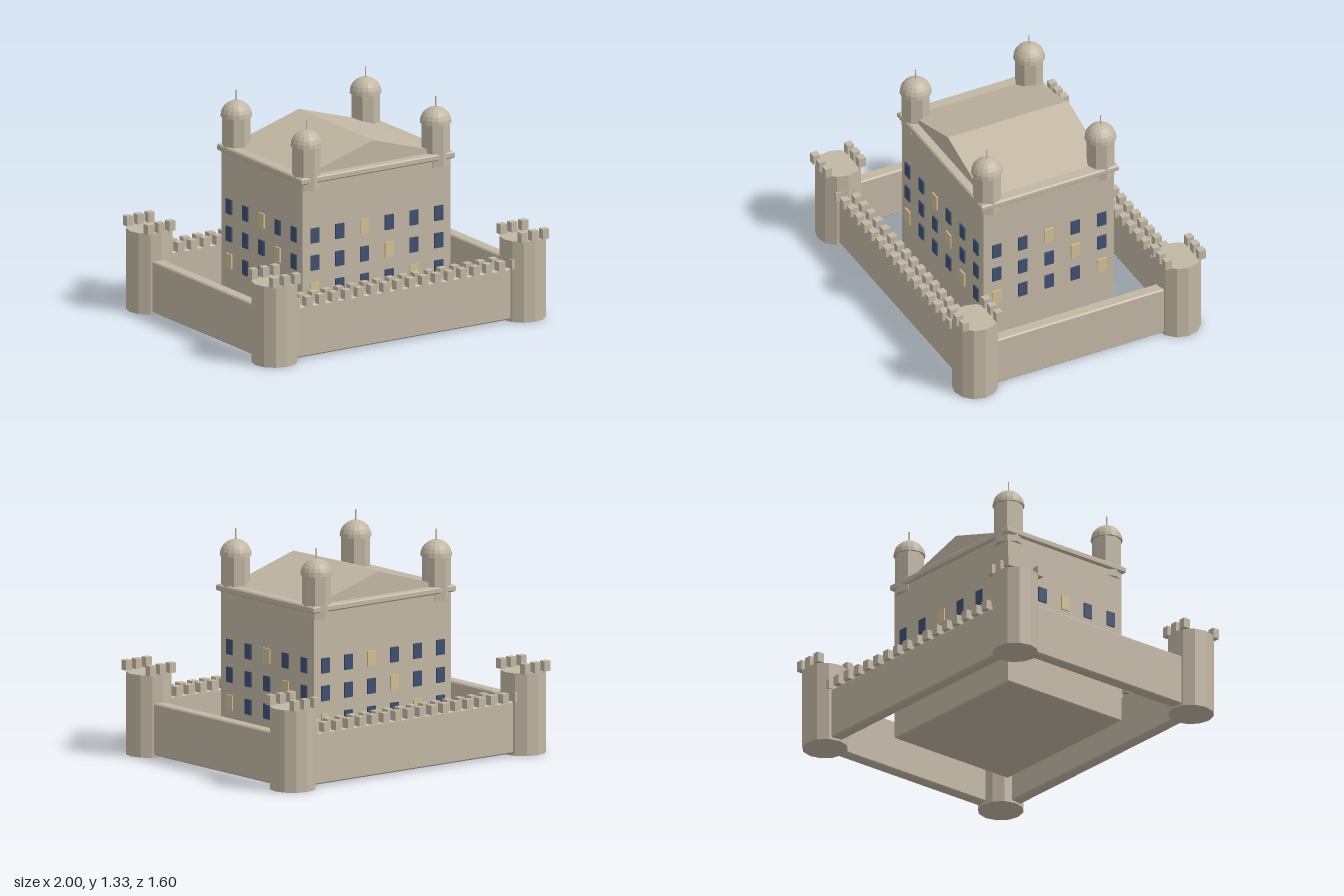
import * as THREE from 'three';

export function createModel() {
  const model = new THREE.Group();
  model.name = 'castle';

  const mat = (name, color, flatShading = false) => {
    const m = new THREE.MeshStandardMaterial({ color, flatShading });
    m.name = name;
    return m;
  };
  const stone = mat('stone', 0xc2b7a4, true);
  const darkGlass = mat('dark glass', 0x3f5070);
  const litGlass = mat('lit glass', 0xd3bf92);

  const add = (parent, name, geometry, material, x = 0, y = 0, z = 0) => {
    const mesh = new THREE.Mesh(geometry, material);
    mesh.name = name;
    mesh.position.set(x, y, z);
    parent.add(mesh);
    return mesh;
  };
  const group = (name, parent = model) => {
    const g = new THREE.Group();
    g.name = name;
    parent.add(g);
    return g;
  };

  // Block with chamfered top and bottom edges, standing on y = 0
  const block = (w, h, d, b = 0.008) => {
    const x = w / 2 - b, z = d / 2 - b;
    const shape = new THREE.Shape([[-x, -z], [x, -z], [x, z], [-x, z]].map(p => new THREE.Vector2(...p)));
    return new THREE.ExtrudeGeometry(shape, {
      depth: h - 2 * b, bevelEnabled: true, bevelSegments: 1, bevelSize: b, bevelThickness: b,
    }).rotateX(-Math.PI / 2).translate(0, b, 0);
  };

  // Corner towers with two rows of merlons
  const TX = 0.865, TZ = 0.667;
  const towerGeo = new THREE.CylinderGeometry(0.135, 0.135, 0.49, 12);
  const towerMerlon = new THREE.BoxGeometry(0.044, 0.06, 0.044);
  for (const sx of [-1, 1]) for (const sz of [-1, 1]) {
    const tower = group('cornerTower');
    tower.position.set(sx * TX, 0, sz * TZ);
    add(tower, 'towerShaft', towerGeo, stone, 0, 0.245, 0);
    for (const x of [-0.075, 0, 0.075]) for (const z of [-0.111, 0.111])
      add(tower, 'towerMerlon', towerMerlon, stone, x, 0.52, z);
  }

  // Curtain walls: the front and back carry merlons, the sides are plain
  const longWall = block(2 * TX, 0.31, 0.075);
  const sideWall = block(0.075, 0.31, 2 * TZ);
  const wallMerlon = new THREE.BoxGeometry(0.045, 0.057, 0.047);
  for (const s of [-1, 1]) {
    const wall = group(s > 0 ? 'frontWall' : 'backWall');
    wall.position.z = s * 0.683;
    add(wall, 'wallBody', longWall, stone, 0, 0.013, 0);
    for (let i = 0; i < 18; i++) for (const z of [-0.038, 0.038])
      add(wall, 'wallMerlon', wallMerlon, stone, (i - 8.5) * 0.0895, 0.3515, z);
    add(model, s > 0 ? 'leftWall' : 'rightWall', sideWall, stone, s * 0.883, 0.013, 0);
  }

  // Keep with cornice and low gabled roof
  const keep = group('keep');
  add(keep, 'keepBody', block(1.03, 0.965, 0.86), stone, 0, 0.01, 0);
  add(keep, 'cornice', block(1.07, 0.04, 0.9), stone, 0, 0.96, 0);
  const gable = new THREE.Shape([[-0.47, 0], [0.47, 0], [0, 0.142]].map(p => new THREE.Vector2(...p)));
  add(keep, 'roof', new THREE.ExtrudeGeometry(gable, { depth: 0.79, bevelEnabled: false }), stone, 0, 0.998, -0.395);

  // Domed turrets on the keep corners
  const shaft = new THREE.CylinderGeometry(0.085, 0.085, 0.26, 8);
  const dome = new THREE.SphereGeometry(0.094, 16, 6, 0, Math.PI * 2, 0, Math.PI / 2);
  const domeBase = new THREE.CircleGeometry(0.094, 16).rotateX(Math.PI / 2);
  const finial = new THREE.CylinderGeometry(0.004, 0.004, 0.07, 6);
  for (const sx of [-1, 1]) for (const sz of [-1, 1]) {
    const turret = group('turret', keep);
    turret.position.set(sx * 0.45, 0, sz * 0.373);
    add(turret, 'turretShaft', shaft, stone, 0, 1.05, 0);
    add(turret, 'dome', dome, stone, 0, 1.175, 0);
    add(turret, 'domeBase', domeBase, stone, 0, 1.175, 0);
    add(turret, 'finial', finial, stone, 0, 1.297, 0);
  }

  // Windows in three rows on every face of the keep
  const pane = new THREE.BoxGeometry(0.058, 0.09, 0.009);
  const faces = [['front', 6, 0.43], ['left', 5, 0.515], ['back', 6, 0.43], ['right', 5, 0.515]];
  faces.forEach(([name, cols, dist], f) => {
    const side = group(name + 'Windows', keep);
    side.rotation.y = f * Math.PI / 2;
    for (let r = 0; r < 3; r++) for (let c = 0; c < cols; c++) {
      const lit = (r + c) % 4 === 0;
      add(side, lit ? 'litWindow' : 'darkWindow', pane, lit ? litGlass : darkGlass,
        (c - (cols - 1) / 2) * 0.1725, 0.31 + r * 0.165, dist + 0.0045);
    }
  });

  return model;
}
